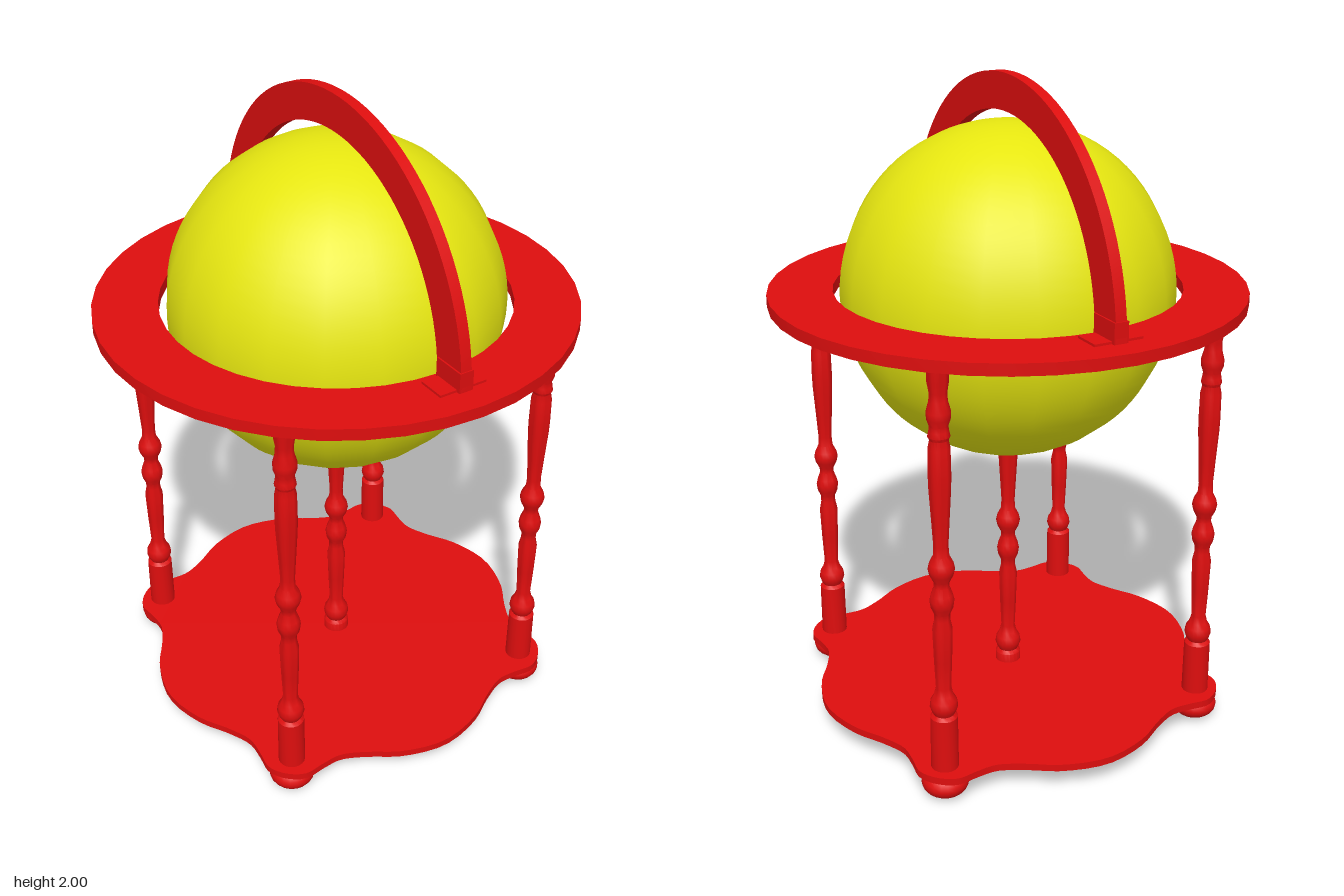
import * as THREE from 'three';
import { toCreasedNormals } from 'three/addons/utils/BufferGeometryUtils.js';

const red = new THREE.MeshStandardMaterial({ color: 0xdd0e0e });
const yellow = new THREE.MeshStandardMaterial({ color: 0xe6e610 });

export function createModel() {
  const model = new THREE.Group();
  const add = (name, geometry, x = 0, y = 0, z = 0, material = red) => {
    const mesh = new THREE.Mesh(geometry, material);
    mesh.name = name;
    mesh.position.set(x, y, z);
    model.add(mesh);
    return mesh;
  };
  const extrude = (shape, depth, curveSegments) => toCreasedNormals(
    new THREE.ExtrudeGeometry(shape, { depth, bevelEnabled: false, curveSegments }), 0.6);
  const turned = (points) => toCreasedNormals(
    new THREE.LatheGeometry(points.map(([r, y]) => new THREE.Vector2(r, y)), 20), 0.7);

  // Globe
  add('globe', new THREE.SphereGeometry(0.5, 20, 40), 0, 1.365, 0, yellow);

  // Flat horizon ring around the globe
  const ringShape = new THREE.Shape().absarc(0, 0, 0.712, 0, Math.PI * 2);
  ringShape.holes.push(new THREE.Path().absarc(0, 0, 0.52, 0, Math.PI * 2, true));
  add('horizonRing', extrude(ringShape, 0.035, 20).rotateX(-Math.PI / 2), 0, 1.345, 0);

  // Half-circle meridian arch, running front to back
  const archShape = new THREE.Shape();
  archShape.absarc(0, 0, 0.635, 0, Math.PI);
  archShape.absarc(0, 0, 0.528, Math.PI, 0, true);
  archShape.closePath();
  add('meridianArch', extrude(archShape, 0.034, 24).translate(0, 0, -0.017).rotateY(Math.PI / 2), 0, 1.365, 0);
  for (const s of [-1, 1]) {
    add('archPad', new THREE.BoxGeometry(0.15, 0.008, 0.085), 0, 1.383, s * 0.58);
    add('archSocket', new THREE.BoxGeometry(0.044, 0.06, 0.104), 0, 1.41, s * 0.582);
  }

  // Base plate: a lobe at each leg, a gentle bulge on each side
  const lobe = [[0, 0.69], [5, 0.678], [9, 0.635], [14, 0.598], [22, 0.594], [32, 0.618], [45, 0.635]];
  const outline = [];
  for (let q = 0; q < 4; q++) {
    const half = lobe.slice(1, -1).reverse().map(([a, r]) => [-a, r]);
    for (const [a, r] of [...half, ...lobe]) {
      const t = THREE.MathUtils.degToRad(45 + q * 90 + a);
      outline.push(new THREE.Vector3(r * Math.cos(t), r * Math.sin(t), 0));
    }
  }
  const edge = new THREE.CatmullRomCurve3(outline, true).getPoints(160).slice(0, -1);
  const plateShape = new THREE.Shape(edge.map((p) => new THREE.Vector2(p.x, p.y)));
  add('basePlate', extrude(plateShape, 0.022).rotateX(-Math.PI / 2), 0, 0.075, 0);

  // Turned baluster profile [radius, height], shared by the legs and the centre post
  const shaft = [
    [0.04, 0.265], [0.031, 0.275], [0.036, 0.285], [0.041, 0.3], [0.038, 0.32], [0.028, 0.337], [0.022, 0.36],
    [0.026, 0.45], [0.029, 0.55], [0.023, 0.58], [0.023, 0.6], [0.032, 0.62], [0.035, 0.642], [0.031, 0.66],
    [0.022, 0.685], [0.023, 0.7], [0.034, 0.722], [0.038, 0.74], [0.034, 0.758], [0.023, 0.78], [0.021, 0.81],
    [0.025, 0.88], [0.031, 0.98],
  ];
  const top = [
    [0.032, 1.02], [0.031, 1.1], [0.026, 1.125], [0.031, 1.135], [0.028, 1.15], [0.026, 1.165],
    [0.033, 1.185], [0.034, 1.205], [0.026, 1.235], [0.025, 1.26], [0.03, 1.29], [0.031, 1.35],
  ];
  const legGeometry = turned([[0.041, 0.09], ...shaft, ...top]);
  const footGeometry = new THREE.SphereGeometry(0.07, 20, 12).scale(1, 0.64, 1);
  for (const x of [-0.44, 0.44]) {
    for (const z of [-0.44, 0.44]) {
      add('leg', legGeometry, x, 0, z);
      add('foot', footGeometry, x, 0.045, z);
    }
  }

  // Shorter centre post, holding up the globe
  add('centrePost', turned([[0.041, 0.23], ...shaft, [0.034, 1.02]]), 0, -0.14, 0);

  return model;
}
